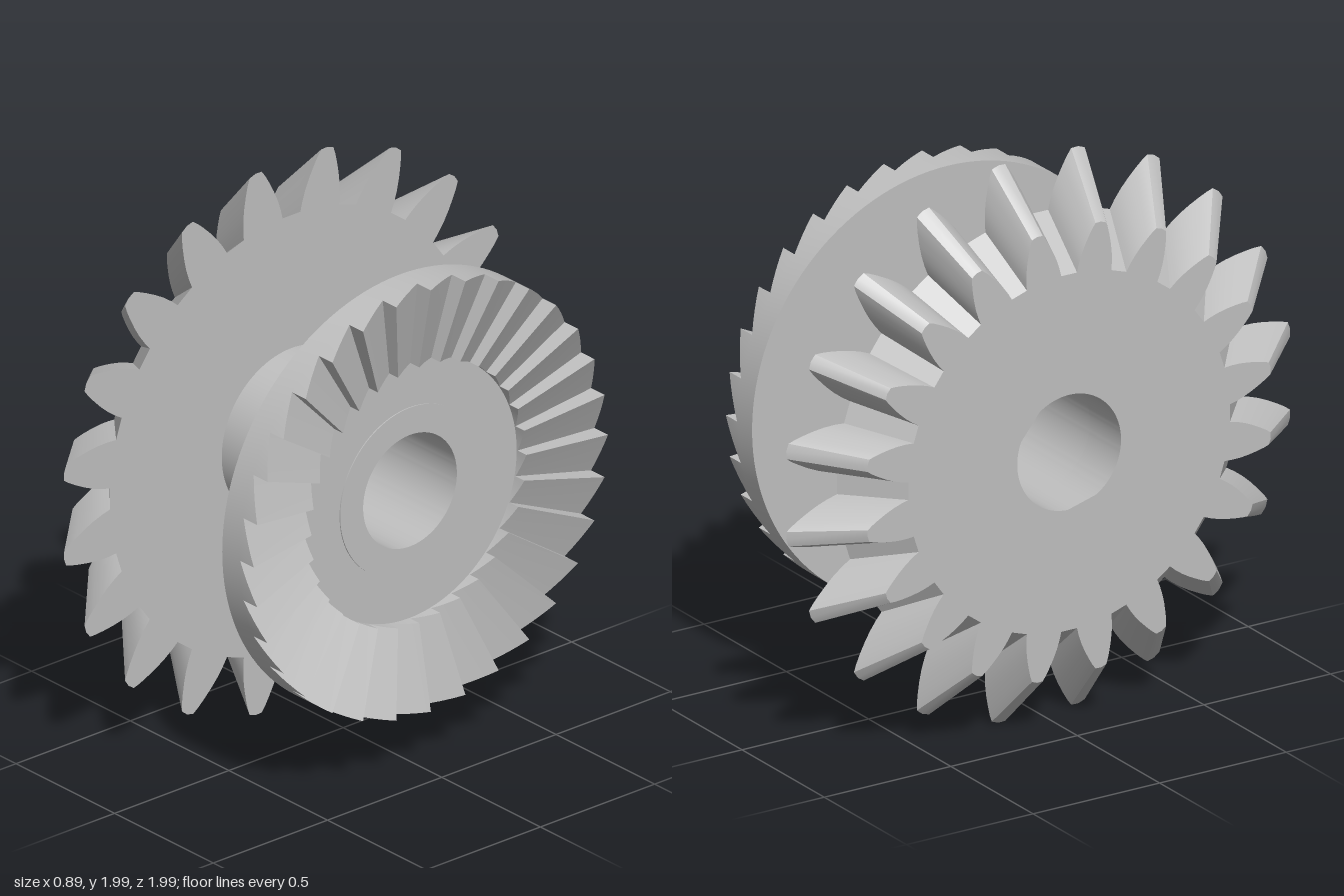
import * as THREE from 'three';
import { toCreasedNormals } from 'three/addons/utils/BufferGeometryUtils.js';

const metal = new THREE.MeshStandardMaterial({ color: 0xbfbfbf });
metal.name = 'grey metal';

const BORE = 0.205, TUBE = 0.305, FLOOR_R = 0.47, RIM_R = 0.775;
const BACK_X = -0.45, GEAR_X = -0.262, DISC_X = 0.285, FLOOR_X = 0.335;

function part(name, geometry) {
  const mesh = new THREE.Mesh(toCreasedNormals(geometry, 0.4), metal);
  mesh.name = name;
  return mesh;
}

// Bevel gear: extruded tooth outline, tapered towards its small face
function bevelGear() {
  const teeth = 20;
  // radius and half width along one tooth flank
  const flank = [[0.795, 0.086], [0.83, 0.083], [0.87, 0.076], [0.91, 0.065], [0.95, 0.051], [0.98, 0.039], [1.003, 0.027]];
  const outline = [];
  for (let i = 0; i < teeth; i++) {
    const mid = (i + 0.5) * Math.PI * 2 / teeth;
    const add = (r, half) => {
      const a = mid + half / r;
      outline.push(new THREE.Vector2(r * Math.cos(a), r * Math.sin(a)));
    };
    flank.forEach(([r, w]) => add(r, -w));
    add(1.008, 0);
    [...flank].reverse().forEach(([r, w]) => add(r, w));
  }
  const shape = new THREE.Shape(outline);
  shape.holes.push(new THREE.Path().absarc(0, 0, BORE, 0, Math.PI * 2, true));
  const depth = GEAR_X - BACK_X;
  const geo = new THREE.ExtrudeGeometry(shape, { depth, bevelEnabled: false, curveSegments: 64 });
  const p = geo.attributes.position;
  for (let i = 0; i < p.count; i++) {
    const x = p.getX(i), y = p.getY(i);
    if (Math.hypot(x, y) > TUBE && p.getZ(i) < depth / 2) p.setXY(i, x * 0.8, y * 0.8);
  }
  geo.rotateY(Math.PI / 2).translate(BACK_X, 0, 0);
  return part('bevelGear', geo);
}

// Turned surface around the x axis, from [radius, x] points
function turned(name, points) {
  const geo = new THREE.LatheGeometry(points.map(([r, x]) => new THREE.Vector2(r, x)), 128);
  return part(name, geo.rotateZ(-Math.PI / 2));
}

// Ring of saw teeth on the face of the disc
function sawTeeth() {
  const teeth = 32, sub = 4, step = Math.PI * 2 / teeth;
  const pos = [];
  const P = (r, a, x) => [x, r * Math.sin(a), -r * Math.cos(a)];
  const quad = (a, b, c, d) => pos.push(...a, ...b, ...c, ...a, ...c, ...d);
  const inner = t => 0.34 + 0.045 * t;
  const outer = t => 0.376 + 0.069 * t;
  for (let i = 0; i < teeth; i++) {
    for (let j = 0; j < sub; j++) {
      const t0 = j / sub, t1 = (j + 1) / sub;
      const a0 = (i + t0) * step, a1 = (i + t1) * step;
      const i0 = P(FLOOR_R, a0, inner(t0)), i1 = P(FLOOR_R, a1, inner(t1));
      const o0 = P(RIM_R, a0, outer(t0)), o1 = P(RIM_R, a1, outer(t1));
      quad(i0, o0, o1, i1);                                              // ramp
      quad(P(RIM_R, a0, 0.37), P(RIM_R, a1, 0.37), o1, o0);              // outer wall
      quad(P(FLOOR_R, a1, FLOOR_X), P(FLOOR_R, a0, FLOOR_X), i0, i1);    // inner wall
    }
    const a = (i + 1) * step;                                            // steep face
    quad(P(FLOOR_R, a, inner(0)), P(FLOOR_R, a, inner(1)), P(RIM_R, a, outer(1)), P(RIM_R, a, outer(0)));
  }
  const geo = new THREE.BufferGeometry();
  geo.setAttribute('position', new THREE.Float32BufferAttribute(pos, 3));
  return part('sawTeeth', geo);
}

export function createModel() {
  const model = new THREE.Group();
  model.name = 'doubleGear';
  model.add(
    bevelGear(),
    turned('hubAndDisc', [[TUBE, GEAR_X], [TUBE, DISC_X], [RIM_R, DISC_X], [RIM_R, 0.37]]),
    turned('floorAndBore', [[FLOOR_R, FLOOR_X], [TUBE, FLOOR_X], [TUBE, FLOOR_X + 0.004], [BORE, FLOOR_X + 0.004], [BORE, GEAR_X]]),
    sawTeeth(),
  );
  model.position.y = 1;
  const root = new THREE.Group();
  root.name = 'gearModel';
  root.add(model);
  return root;
}
